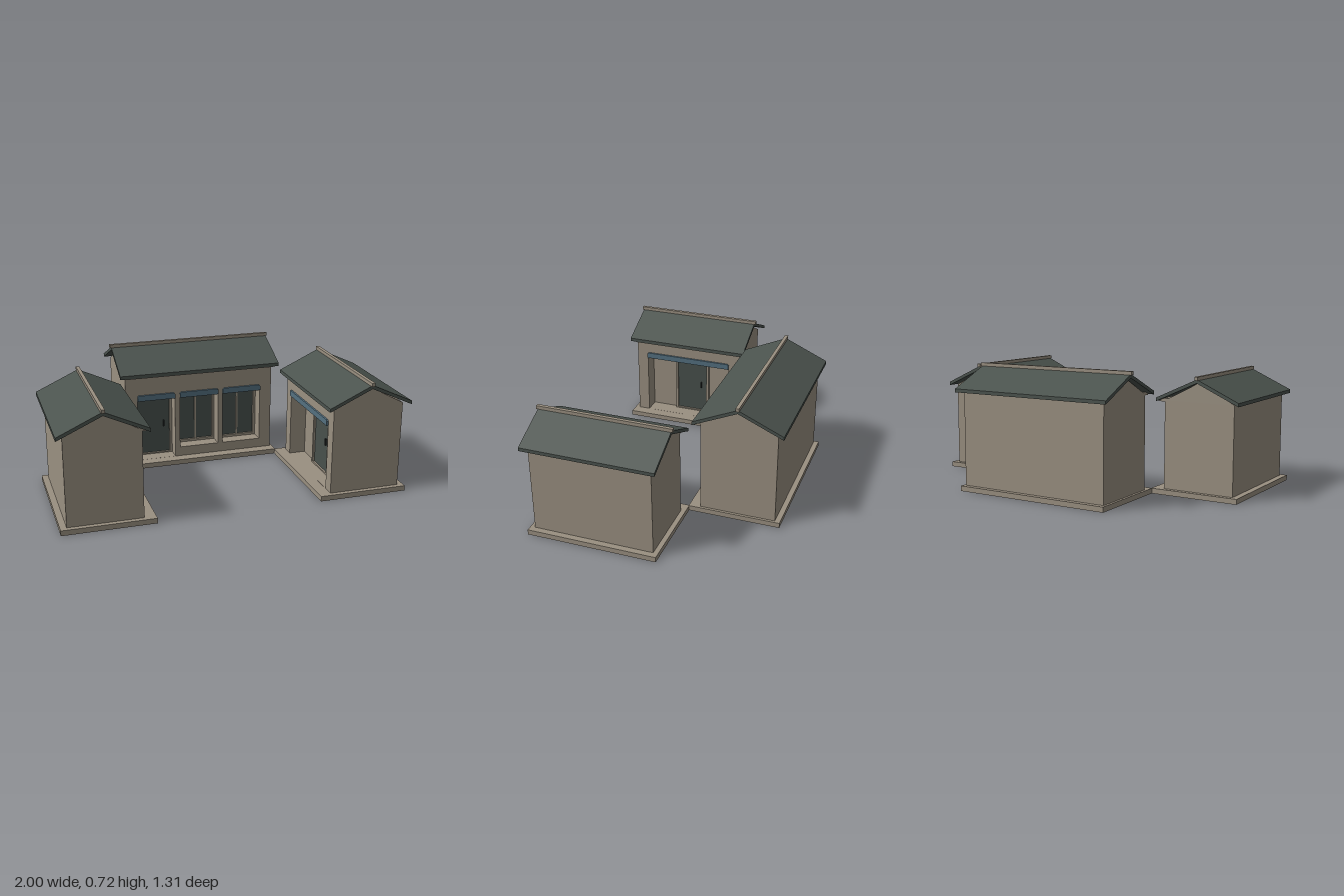
import * as THREE from 'three';

const mat = (name, color) => {
  const m = new THREE.MeshStandardMaterial({ color });
  m.name = name;
  return m;
};

export function createModel() {
  const stone = mat('warm grey stone', 0x9a9081);
  const tile = mat('dark green grey tile', 0x4b534e);
  const glass = mat('dark glass', 0x48504c);
  const blue = mat('slate blue valance', 0x547080);
  const metal = mat('dark handle', 0x222626);

  const add = (group, name, geo, material) => {
    const mesh = new THREE.Mesh(geo, material);
    mesh.name = name;
    group.add(mesh);
    return mesh;
  };

  // Box given by its ranges on each axis
  const box = (group, name, material, [x0, x1], [y0, y1], [z0, z1]) =>
    add(group, name, new THREE.BoxGeometry(x1 - x0, y1 - y0, z1 - z0), material)
      .position.set((x0 + x1) / 2, (y0 + y1) / 2, (z0 + z1) / 2);

  const polygon = (pts) => new THREE.Shape(pts.map(([x, y]) => new THREE.Vector2(x, y)));
  const extrude = (shape, depth) => new THREE.ExtrudeGeometry(shape, { depth, bevelEnabled: false });

  // Symmetric cross-section swept along x, centred
  const sweep = (pts, length) =>
    extrude(polygon(pts), length).translate(0, 0, -length / 2).rotateY(Math.PI / 2);

  const BASE = 0.03, RECESS = 0.1, F = 0.015;

  // Framed glass panel standing on the plane z
  function panel(group, kind, x0, x1, y0, y1, z) {
    const sill = kind === 'door' ? 0.008 : F;
    const front = z + 0.02;
    box(group, kind + 'Glass', glass, [x0 + F, x1 - F], [y0 + sill, y1 - F], [z, z + 0.008]);
    box(group, kind + 'FrameLeft', stone, [x0, x0 + F], [y0, y1], [z, front]);
    box(group, kind + 'FrameRight', stone, [x1 - F, x1], [y0, y1], [z, front]);
    box(group, kind + 'FrameTop', stone, [x0 + F, x1 - F], [y1 - F, y1], [z, front]);
    box(group, kind + 'Sill', stone, [x0 + F, x1 - F], [y0, y0 + sill], [z, front]);
    const mid = (x0 + x1) / 2;
    if (kind === 'window') {
      box(group, 'windowMullion', stone, [mid - 0.005, mid + 0.005], [y0 + F, y1 - F], [z, z + 0.015]);
    } else {
      box(group, 'doorHandle', metal, [x1 - 0.055, x1 - 0.048], [0.205, 0.245], [z + 0.008, z + 0.018]);
    }
  }

  // One gabled house facing +z
  function house(name, o) {
    const g = new THREE.Group();
    g.name = name;
    const hx = o.length / 2, hz = o.depth / 2;
    box(g, 'platform', stone, [-o.baseX, o.baseX], [0, BASE], o.baseZ);
    box(g, 'rearBody', stone, [-hx, hx], [BASE, o.wallTop], [-hz, hz - RECESS]);

    // Front wall with recessed openings
    const wall = polygon([[-hx, BASE], [hx, BASE], [hx, o.wallTop], [-hx, o.wallTop]]);
    for (const [x0, x1, y0] of o.openings) {
      const y = Math.max(y0, BASE + 0.0005);
      wall.holes.push(new THREE.Path(
        [[x0, y], [x0, 0.435], [x1, 0.435], [x1, y]].map(([a, b]) => new THREE.Vector2(a, b))));
      // Valance with clipped top corners above each opening
      const c = 0.008;
      const cloth = polygon([[x0, 0.415], [x1, 0.415], [x1, 0.45 - c], [x1 - c, 0.45],
        [x0 + c, 0.45], [x0, 0.45 - c]]);
      add(g, 'valance', extrude(cloth, 0.012), blue).position.z = hz - 0.001;
    }
    add(g, 'frontWall', extrude(wall, RECESS), stone).position.z = hz - RECESS;
    for (const [kind, x0, x1, y0] of o.panels) panel(g, kind, x0, x1, y0, 0.432, hz - RECESS);

    // Gable prism, soffit, roof and ridge
    add(g, 'gable', sweep([[-hz, o.wallTop], [hz, o.wallTop], [0, o.gableTop]], o.length), stone);
    box(g, 'soffit', stone, [-hx, hx], [o.eave - 0.004, o.eave + 0.014], [hz - 0.02, o.roofZ - 0.003]);
    add(g, 'roof', sweep([[-o.roofZ, o.eave], [0, o.roofTop - 0.021], [o.roofZ, o.eave],
      [o.roofZ, o.eave + 0.02], [0, o.roofTop], [-o.roofZ, o.eave + 0.02]], o.roofX * 2), tile);
    box(g, 'ridge', stone, [-o.roofX - 0.009, o.roofX + 0.009], [o.roofTop - 0.005, o.roofTop + 0.015], [-0.01, 0.01]);
    return g;
  }

  const model = new THREE.Group();
  model.name = 'courtyardHouses';

  const main = house('mainHouse', {
    length: 0.93, depth: 0.44, wallTop: 0.572, gableTop: 0.683,
    baseX: 0.48, baseZ: [-0.25, 0.285],
    eave: 0.571, roofTop: 0.706, roofZ: 0.258, roofX: 0.5,
    openings: [[-0.392, -0.158, BASE], [-0.127, 0.118, 0.088], [0.148, 0.392, 0.088]],
    panels: [['door', -0.392, -0.158, BASE], ['window', -0.127, 0.118, 0.088],
      ['window', 0.148, 0.392, 0.088]],
  });
  main.position.z = -0.398;
  model.add(main);

  // Two side houses turned towards the courtyard
  for (const [name, side] of [['leftHouse', 1], ['rightHouse', -1]]) {
    const wing = house(name, {
      length: 0.7, depth: 0.42, wallTop: 0.535, gableTop: 0.645,
      baseX: 0.378, baseZ: [-0.246, 0.277],
      eave: 0.532, roofTop: 0.666, roofZ: 0.248, roofX: 0.384,
      openings: [[-0.28, 0.28, BASE]],
      panels: [['door', -0.115, 0.115, BASE]],
    });
    wing.position.set(side * 0.752, 0, 0.262);
    wing.rotation.y = -side * Math.PI / 2;
    model.add(wing);
  }
  return model;
}
